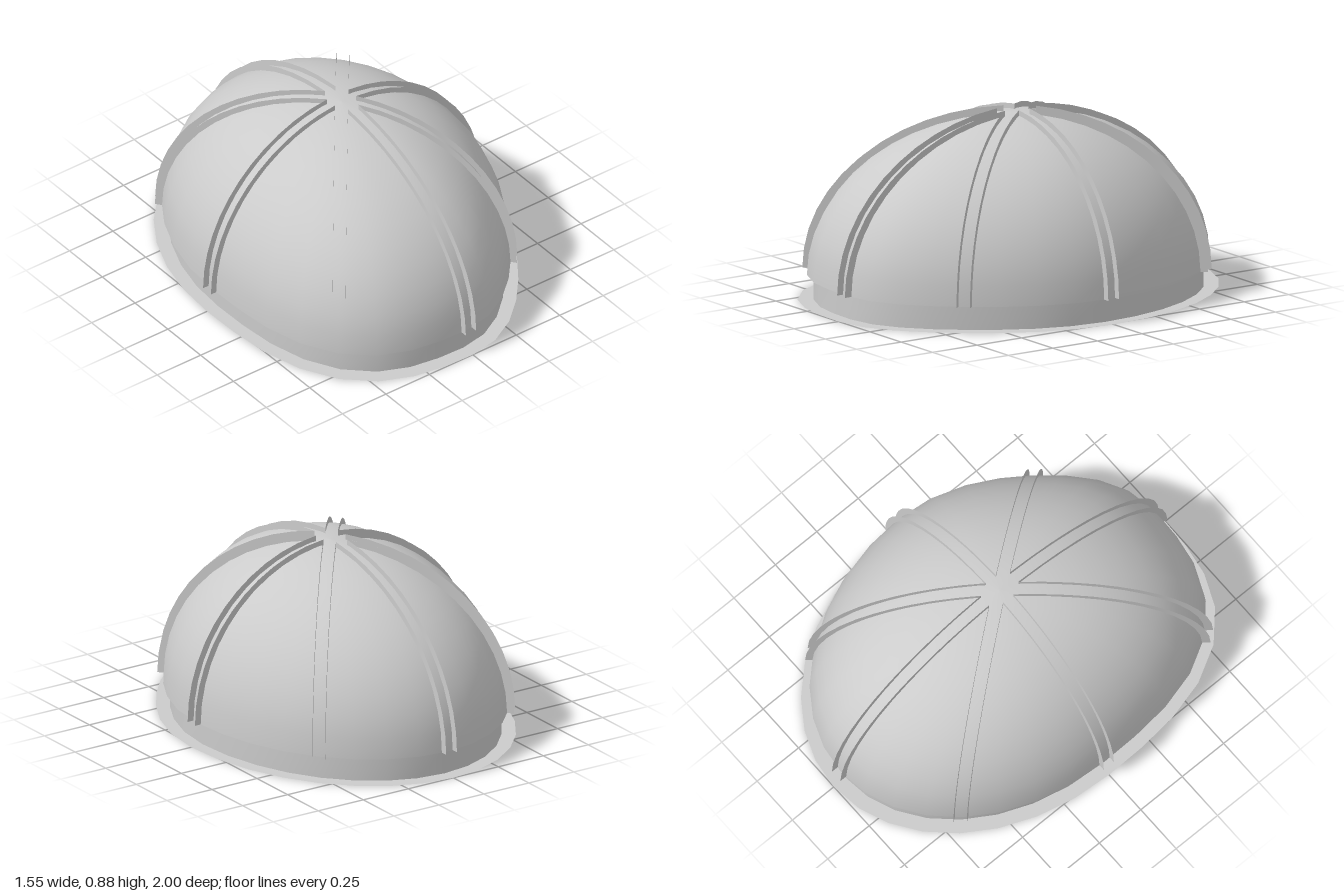
import * as THREE from 'three';

const SEGS = 32, STACKS = 12, RIM = 0.115, HALF_GAP = 0.03;
const material = new THREE.MeshStandardMaterial({ color: 0xcccccc, side: THREE.DoubleSide });

// Half-ellipsoids: half width, half depth and height above the rim
const DOME = { a: 0.745, b: 0.955, h: 0.74 };
const FIN_INNER = { a: 0.741, b: 0.95, h: 0.735 };
const FIN_OUTER = { a: 0.775, b: 0.987, h: 0.765 };

// Outline swells at the front right corner and flattens at the front left one
function bulge(u) {
  if (Math.sin(u) <= 0) return 1;
  return 1 + (Math.cos(u) < 0 ? 0.1 : -0.06) * Math.sin(2 * u) ** 2;
}

// Grid of points (rows of equal length) to a mesh
function loft(name, rows, closed) {
  const n = rows[0].length, index = [];
  for (let i = 0; i < rows.length - 1; i++) {
    for (let k = 0; k < (closed ? n : n - 1); k++) {
      const p = i * n + k, q = i * n + (k + 1) % n;
      index.push(p, p + n, q, q, p + n, q + n);
    }
  }
  const geometry = new THREE.BufferGeometry();
  geometry.setAttribute('position', new THREE.Float32BufferAttribute(rows.flat(2), 3));
  geometry.setIndex(index);
  geometry.computeVertexNormals();
  const mesh = new THREE.Mesh(geometry, material);
  mesh.name = name;
  return mesh;
}

function ring(a, b, y) {
  return Array.from({ length: SEGS }, (_, k) => {
    const u = (k / SEGS) * Math.PI * 2, f = bulge(u);
    return [a * f * Math.cos(u), y, b * f * Math.sin(u)];
  });
}

// Plan distance from the axis: 0 at the centre, 1 on the shell's outline
function spread(shell, x, z) {
  const px = x / shell.a, pz = z / shell.b;
  return Math.hypot(px, pz) / bulge(Math.atan2(pz, px));
}

// Curve where a vertical plane, shifted sideways from the axis, cuts a shell
function finEdge(shell, dir, side, start) {
  const at = (r) => [dir.x * r + side.x * HALF_GAP, dir.y * r + side.y * HALF_GAP];
  const top = Math.asin(spread(shell, ...at(start)));
  return Array.from({ length: STACKS + 1 }, (_, i) => {
    const phi = THREE.MathUtils.lerp(Math.PI / 2, top, i / STACKS);
    let lo = start, hi = 1.3;
    for (let n = 0; n < 30; n++) {
      const mid = (lo + hi) / 2;
      if (spread(shell, ...at(mid)) < Math.sin(phi)) lo = mid; else hi = mid;
    }
    const [x, z] = at(lo);
    return [x, RIM + shell.h * Math.cos(phi), z];
  });
}

export function createModel() {
  const model = new THREE.Group();

  // Smooth dome shell
  const domeRings = [];
  for (let i = 0; i <= STACKS; i++) {
    const phi = (1 - i / STACKS) * Math.PI / 2, s = Math.sin(phi);
    domeRings.push(ring(DOME.a * s, DOME.b * s, RIM + DOME.h * Math.cos(phi)));
  }
  model.add(loft('dome', domeRings, true));

  // Recessed base band, the step under the dome and the flat bottom flange
  const baseLow = ring(0.71, 0.93, 0), baseHigh = ring(0.71, 0.93, RIM);
  model.add(loft('baseBand', [baseLow, baseHigh], true));
  model.add(loft('domeUnderside', [baseHigh, domeRings[0]], true));
  model.add(loft('bottomFlange', [ring(0.775, 1, 0), baseLow], true));

  // Eight panels, each edged by two thin fins that meet near the crown
  const fins = new THREE.Group();
  fins.name = 'seamFins';
  const dirs = Array.from({ length: 8 }, (_, i) => {
    const u = (i * Math.PI) / 4;
    return new THREE.Vector2(0.775 * Math.cos(u), Math.sin(u)).normalize();
  });
  dirs.forEach((d, i) => {
    const e = dirs[(i + 1) % 8];
    const start = HALF_GAP / Math.tan(Math.acos(d.dot(e)) / 2);
    const sides = [[d, new THREE.Vector2(-d.y, d.x)], [e, new THREE.Vector2(e.y, -e.x)]];
    for (const [dir, side] of sides) {
      const edges = [FIN_INNER, FIN_OUTER].map((shell) => finEdge(shell, dir, side, start));
      fins.add(loft('seamFin', edges, false));
    }
  });
  model.add(fins);
  return model;
}
